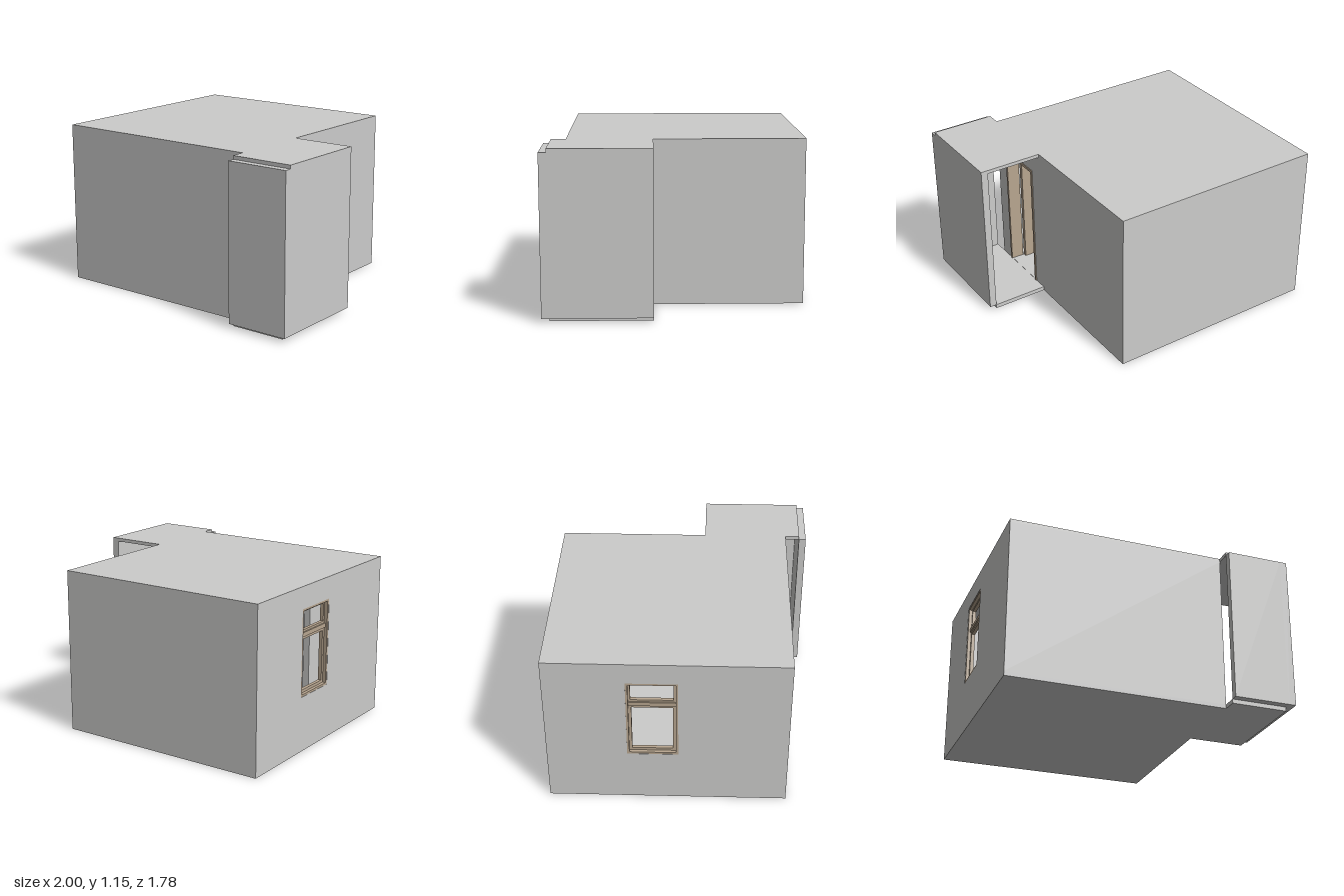
import * as THREE from 'three';

const wallMat = new THREE.MeshStandardMaterial({ color: 0xcccccb });
wallMat.name = 'wall grey';
const woodMat = new THREE.MeshStandardMaterial({ color: 0xb8a690 });
woodMat.name = 'wood tan';

// Box given by its extents on each axis
function box(parent, name, mat, [x0, x1], [y0, y1], [z0, z1]) {
  const mesh = new THREE.Mesh(new THREE.BoxGeometry(x1 - x0, y1 - y0, z1 - z0), mat);
  mesh.position.set((x0 + x1) / 2, (y0 + y1) / 2, (z0 + z1) / 2);
  mesh.name = name;
  parent.add(mesh);
  return mesh;
}

function group(parent, name) {
  const g = new THREE.Group();
  g.name = name;
  parent.add(g);
  return g;
}

// Side wall (in the y-z plane) with a rectangular opening
function wallWithOpening(parent, name, xs, ys, zs, oy, oz) {
  const shape = new THREE.Shape();
  shape.moveTo(-zs[0], ys[0]).lineTo(-zs[1], ys[0]).lineTo(-zs[1], ys[1]).lineTo(-zs[0], ys[1]);
  const hole = new THREE.Path();
  hole.moveTo(-oz[0], oy[0]).lineTo(-oz[0], oy[1]).lineTo(-oz[1], oy[1]).lineTo(-oz[1], oy[0]);
  shape.holes.push(hole);
  const geo = new THREE.ExtrudeGeometry(shape, { depth: xs[1] - xs[0], bevelEnabled: false });
  geo.rotateY(Math.PI / 2);
  geo.translate(xs[0], 0, 0);
  const mesh = new THREE.Mesh(geo, wallMat);
  mesh.name = name;
  parent.add(mesh);
}

// Jambs and head (plus optional sill) lining an opening
function frame(parent, name, xs, [y0, y1], [z0, z1], t, sill) {
  box(parent, name + 'BackJamb', woodMat, xs, [y0, y1], [z0, z0 + t]);
  box(parent, name + 'FrontJamb', woodMat, xs, [y0, y1], [z1 - t, z1]);
  box(parent, name + 'Head', woodMat, xs, [y1 - t, y1], [z0 + t, z1 - t]);
  if (sill) box(parent, name + 'Sill', woodMat, xs, [y0, y0 + t], [z0 + t, z1 - t]);
}

export function createModel() {
  const model = new THREE.Group();
  model.name = 'roomWithCorridor';

  const floorY = 0.03, ceilY = 1.13, topY = 1.155, t = 0.05;
  const ys = [floorY, ceilY];
  const roomX = [-1, 0.55], roomZ = [-0.89, 0.74];
  const windowY = [0.39, 1.0], windowZ = [-0.345, 0];
  const doorY = [floorY, 0.975], doorZ = [0.25, 0.625];

  // Room shell
  const room = group(model, 'room');
  box(room, 'roomFloor', wallMat, roomX, [0, floorY], roomZ);
  box(room, 'roomCeiling', wallMat, roomX, [ceilY, topY], roomZ);
  box(room, 'backWall', wallMat, roomX, ys, [roomZ[0], roomZ[0] + t]);
  box(room, 'frontWall', wallMat, roomX, ys, [roomZ[1] - t, roomZ[1]]);
  const sideZ = [roomZ[0] + t, roomZ[1] - t];
  wallWithOpening(room, 'windowWall', [-1, -1 + t], ys, sideZ, windowY, windowZ);
  // Door opening sits just above the floor so the hole stays inside the wall
  wallWithOpening(room, 'doorWall', [0.55 - t, 0.55], ys, sideZ, [floorY + 0.002, doorY[1]], doorZ);
  box(room, 'partition', wallMat, [-0.6, -0.55], ys, [0.44, sideZ[1]]);

  // Window frame with transom and mullion-free panes
  const win = group(model, 'window');
  frame(win, 'window', [-0.998, -0.95], windowY, windowZ, 0.015, true);
  frame(win, 'lowerSash', [-0.975, -0.95], [0.405, 0.8], [-0.33, -0.015], 0.02, true);
  box(win, 'windowTransom', woodMat, [-0.985, -0.95], [0.8, 0.83], [-0.33, -0.015]);
  frame(win, 'upperSash', [-0.975, -0.95], [0.83, 0.985], [-0.33, -0.015], 0.015, true);

  // Door frame and the door swung open into the room
  const door = group(model, 'door');
  frame(door, 'door', [0.46, 0.555], doorY, doorZ, 0.02, false);
  box(door, 'doorLeaf', woodMat, [0.1, 0.455], [0.035, 0.95], [0.572, 0.602]);
  for (const z of [0.56, 0.602]) {
    box(door, 'doorHandle', woodMat, [0.12, 0.17], [0.46, 0.472], [z, z + 0.012]);
  }

  // Corridor, open at the back end and beside the room's front corner
  const corridor = group(model, 'corridor');
  box(corridor, 'corridorFloor', wallMat, [0.55, 0.95], [0, floorY], [0.15, 0.84]);
  box(corridor, 'corridorCeiling', wallMat, [0.55, 1], [ceilY, topY], [0.15, 0.84]);
  box(corridor, 'corridorSideWall', wallMat, [0.95, 1], ys, [0.15, 0.89]);
  box(corridor, 'corridorFrontWall', wallMat, [0.55, 0.95], ys, [0.84, 0.89]);

  return model;
}
